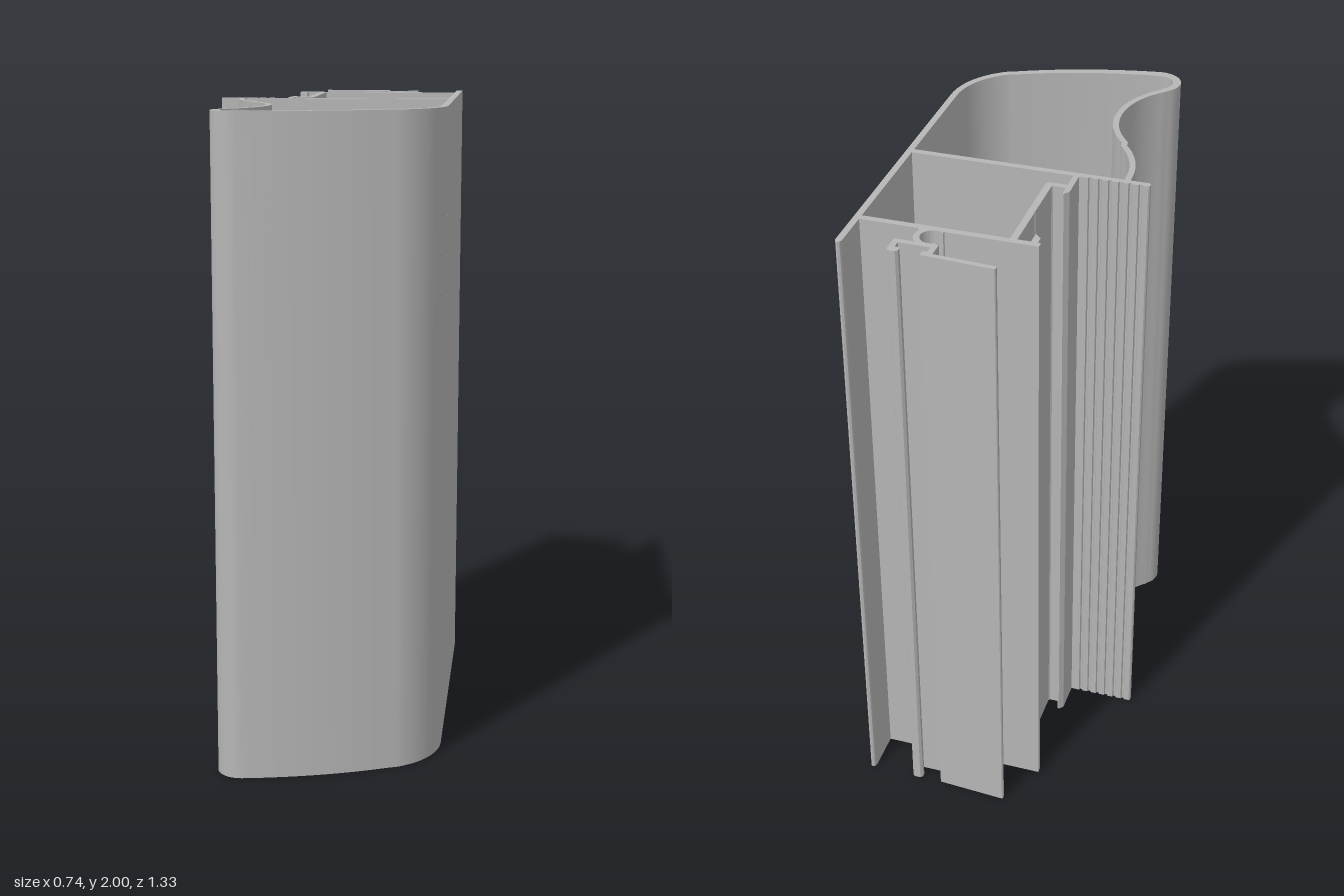
import * as THREE from 'three';
import { toCreasedNormals } from 'three/addons/utils/BufferGeometryUtils.js';

const HEIGHT = 2;
const metal = new THREE.MeshStandardMaterial({ color: 0xb6b6b6 });
metal.name = 'plainAluminium';

// Extrude a plan outline of [x, z] points up to the full height.
function extrude(name, outline) {
  const shape = new THREE.Shape(outline.map(([x, z]) => new THREE.Vector2(x, -z)));
  const geo = new THREE.ExtrudeGeometry(shape, { depth: HEIGHT, bevelEnabled: false });
  geo.rotateX(-Math.PI / 2);
  const mesh = new THREE.Mesh(toCreasedNormals(geo, 0.6), metal);
  mesh.name = name;
  return mesh;
}

const box = (name, x0, x1, z0, z1) => extrude(name, [[x0, z0], [x1, z0], [x1, z1], [x0, z1]]);

// Points [x, z, thickness] on an arc; angles in degrees from +x towards +z.
function arc(cx, cz, r, from, to, steps, t0, t1 = t0) {
  return Array.from({ length: steps + 1 }, (_, i) => {
    const k = i / steps;
    const a = THREE.MathUtils.degToRad(from + (to - from) * k);
    return [cx + r * Math.cos(a), cz + r * Math.sin(a), t0 + (t1 - t0) * k];
  });
}

// Wall of varying thickness around a centre line of [x, z, thickness].
function ribbon(name, line) {
  const left = [], right = [];
  line.forEach(([x, z, t], i) => {
    const a = line[Math.max(i - 1, 0)], b = line[Math.min(i + 1, line.length - 1)];
    const dx = b[0] - a[0], dz = b[1] - a[1], h = t / 2 / Math.hypot(dx, dz);
    left.push([x - dz * h, z + dx * h]);
    right.push([x + dz * h, z - dx * h]);
  });
  return extrude(name, [...left, ...right.reverse()]);
}

export function createModel() {
  const group = new THREE.Group();
  group.name = 'extrudedProfile';

  // Long side wall with a rounded free end
  group.add(extrude('sideWall', [
    [0.351, 0.31], [0.351, -0.645], [0.355, -0.653], [0.361, -0.656],
    [0.367, -0.653], [0.371, -0.645], [0.371, 0.31],
  ]));

  // Curved front shell: corner, bowed face, rounded nose and wavy side
  const bow = new THREE.QuadraticBezierCurve(
    new THREE.Vector2(0.244, 0.509), new THREE.Vector2(0.037, 0.61), new THREE.Vector2(-0.214, 0.647));
  const face = bow.getPoints(16).slice(1, -1).map((p, i) => [p.x, p.y, 0.023 + 0.0004 * i]);
  group.add(ribbon('frontShell', [
    ...arc(0.129, 0.31, 0.232, 0, 60, 14, 0.02, 0.023),
    ...face,
    ...arc(-0.223, 0.587, 0.06, 82, 228, 18, 0.03, 0.022),
    ...arc(-0.437, 0.33, 0.271, 49, -41, 24, 0.02, 0.018),
    ...arc(0.01, -0.062, 0.312, 139, 180, 14, 0.018).slice(1),
    [-0.302, -0.078, 0.018],
  ]));

  // Cross web with grooved overhanging edge
  const web = [[0.351, -0.076], [-0.369, -0.076], [-0.373, -0.08], [-0.373, -0.093], [-0.369, -0.097]];
  for (let i = 0; i < 6; i++) {
    const x = -0.352 + i * 0.03;
    web.push([x, -0.097], [x + 0.003, -0.091], [x + 0.009, -0.091], [x + 0.012, -0.097]);
  }
  web.push([0.351, -0.097]);
  group.add(extrude('crossWeb', web));

  // Rear web with a downturned lip
  group.add(extrude('rearWeb', [
    [0.351, -0.518], [0.19, -0.518], [-0.172, -0.518], [-0.172, -0.499], [-0.163, -0.497],
    [-0.163, -0.472], [-0.143, -0.453], [-0.143, -0.497], [0.351, -0.497],
  ]));

  // Inner wall with a small score line, turning into the lower foot
  group.add(extrude('innerWall', [
    [-0.104, -0.497], [-0.083, -0.497], [-0.083, -0.17], [-0.087, -0.16], [-0.097, -0.155],
    [-0.146, -0.155], [-0.146, -0.174], [-0.108, -0.174], [-0.104, -0.178],
    [-0.104, -0.331], [-0.099, -0.336], [-0.104, -0.341],
  ]));
  group.add(extrude('gasketHook', [
    [-0.163, -0.097], [-0.163, -0.195], [-0.15, -0.21], [-0.146, -0.208], [-0.146, -0.097],
  ]));

  // Open screw channel on the rear web
  group.add(ribbon('screwChannel', arc(0.122, -0.553, 0.045, -122, 122, 28, 0.018)));
  group.add(extrude('channelFillet', [[0.155, -0.518], [0.163, -0.53], [0.17, -0.53], [0.178, -0.518]]));

  // Rear clip: base, two hooks and slanted cover flange
  group.add(box('clipBase', 0.09, 0.22, -0.609, -0.591));
  group.add(box('clipPost', 0.09, 0.108, -0.637, -0.609));
  group.add(extrude('coverFlange', [
    [-0.097, -0.665], [-0.094, -0.668], [0.122, -0.655], [0.122, -0.636], [0.108, -0.632],
    [0.09, -0.632], [0.09, -0.641], [-0.094, -0.652], [-0.097, -0.655],
  ]));
  group.add(extrude('clipHook', [
    [0.202, -0.609], [0.202, -0.633], [0.19, -0.633], [0.186, -0.638], [0.186, -0.65],
    [0.193, -0.657], [0.213, -0.657], [0.22, -0.65], [0.22, -0.609],
  ]));

  return group;
}
